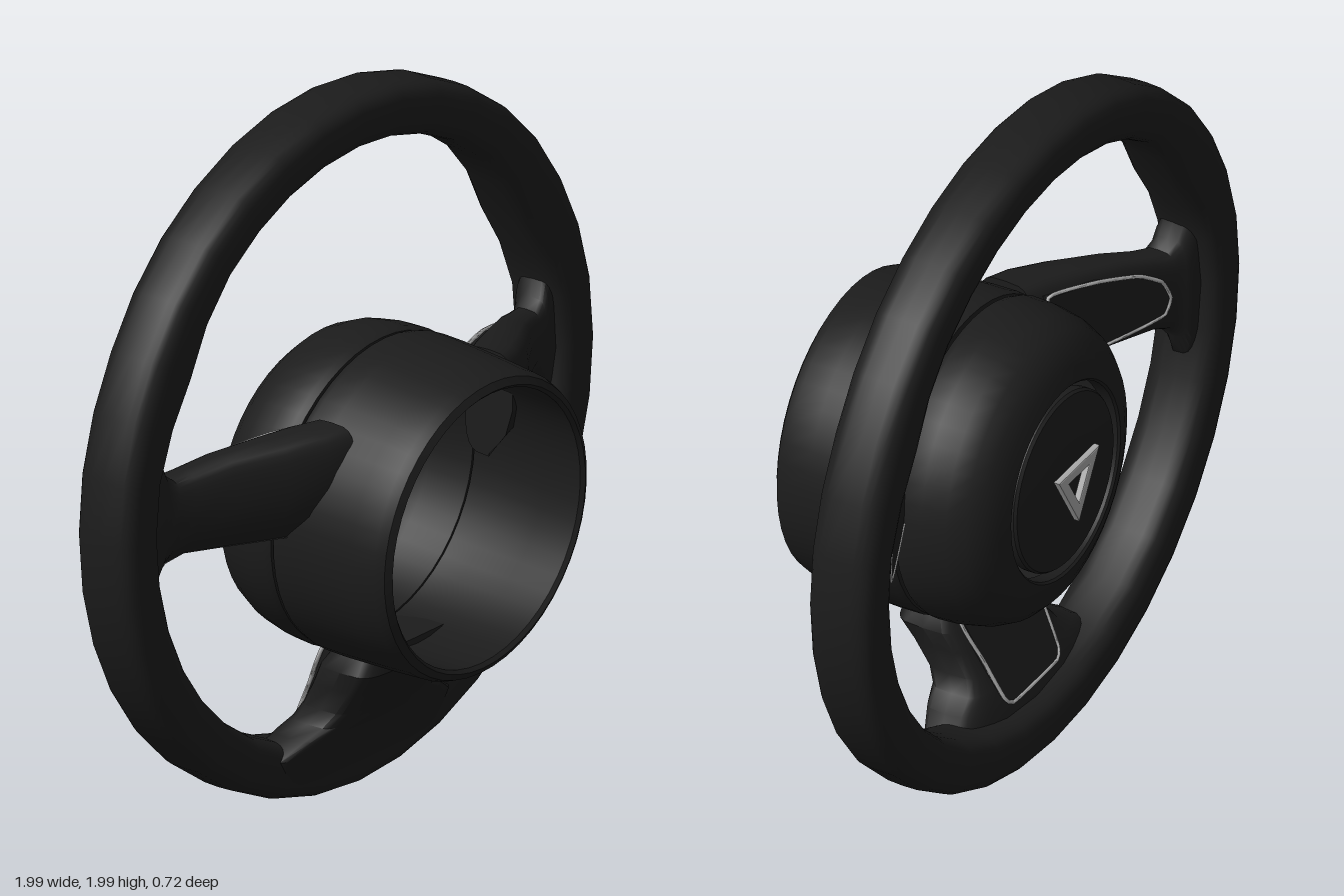
import * as THREE from 'three';
import { toCreasedNormals } from 'three/addons/utils/BufferGeometryUtils.js';

const dark = new THREE.MeshStandardMaterial({ color: 0x1c1c1c, side: THREE.DoubleSide });
const chrome = new THREE.MeshStandardMaterial({ color: 0xaaaaaa });
const HUB_Y = 0.88;

function part(name, geometry, material = dark, crease = 0.7) {
  const mesh = new THREE.Mesh(toCreasedNormals(geometry, crease), material);
  mesh.name = name;
  return mesh;
}

// Rounded-rectangle outline: pairs from -1 to 1, squarer as n grows
function roundedRing(n, count = 24) {
  const bend = (v) => Math.sign(v) * Math.abs(v) ** (2 / n);
  return Array.from({ length: count }, (_, j) => {
    const a = (j / count) * Math.PI * 2;
    return [bend(Math.cos(a)), -bend(Math.sin(a))];
  });
}

// Skin a series of rings, either closed into a loop or capped at both ends
function loft(rings, closed = false) {
  const m = rings[0].length, n = rings.length, index = [];
  for (let i = 0; i < (closed ? n : n - 1); i++) {
    for (let j = 0; j < m; j++) {
      const k = (j + 1) % m, i2 = (i + 1) % n;
      const a = i * m + j, b = i2 * m + j, c = i2 * m + k, d = i * m + k;
      index.push(a, b, d, b, c, d);
    }
  }
  if (!closed) {
    const e = (n - 1) * m;
    for (let j = 1; j < m - 1; j++) index.push(0, j, j + 1, e, e + j + 1, e + j);
  }
  const g = new THREE.BufferGeometry();
  g.setAttribute('position', new THREE.Float32BufferAttribute(rings.flat(2), 3));
  g.setIndex(index);
  return g;
}

// Turned hub part along z, with its axis leaning slightly
function turned(name, profile) {
  const g = new THREE.LatheGeometry(profile.map(([r, z]) => new THREE.Vector2(r, z)), 48);
  g.rotateX(Math.PI / 2);
  const p = g.attributes.position;
  for (let i = 0; i < p.count; i++) {
    const y = p.getY(i), z = p.getZ(i);
    p.setXYZ(i, p.getX(i), HUB_Y + y - 0.04 * z, z + 0.045 * y);
  }
  return part(name, g, dark, 0.6);
}

// Inset panel with a chrome outline, laid on a sloping face z = depth(x, y)
function trimmedPanel(name, outline, depth) {
  const group = new THREE.Group();
  group.name = name;
  const shape = new THREE.Shape(outline.map(([x, y]) => new THREE.Vector2(x, y)));
  const g = new THREE.ExtrudeGeometry(shape, { depth: 0.03, bevelEnabled: false });
  const p = g.attributes.position;
  for (let i = 0; i < p.count; i++) p.setZ(i, p.getZ(i) - 0.01 + depth(p.getX(i), p.getY(i)));
  const path = new THREE.CatmullRomCurve3(
    outline.map(([x, y]) => new THREE.Vector3(x, y, depth(x, y) - 0.008)), true, 'catmullrom', 0.2);
  group.add(part('panelFace', g), part('panelTrim', new THREE.TubeGeometry(path, 64, 0.006, 6, true), chrome, 1.5));
  return group;
}

// Rim: inner radius swells at the thumb grips
function rim() {
  const section = roundedRing(3.4), rings = [], count = 36;
  for (let i = 0; i < count; i++) {
    const t = (i / count) * Math.PI * 2;
    const fromTop = Math.min(t, Math.PI * 2 - t) * 180 / Math.PI;
    const inner = 0.84 - 0.04 * Math.exp(-(((fromTop - 61) / 11) ** 2));
    const mid = (0.995 + inner) / 2, half = (0.995 - inner) / 2;
    rings.push(section.map(([u, v]) => {
      const r = mid + half * u;
      return [r * Math.sin(t), 1.003 + r * Math.cos(t), -0.19 + 0.1 * v];
    }));
  }
  return part('rim', loft(rings, true));
}

// Side spoke stations: x, bottom y, top y, back z, front z
function sideSpoke(sign, name) {
  const group = new THREE.Group();
  group.name = name;
  const section = roundedRing(4);
  const stations = [
    [0.33, 0.9, 1.21, -0.015, 0.15], [0.4, 0.9, 1.205, -0.05, 0.125], [0.5, 0.9, 1.19, -0.094, 0.065],
    [0.62, 0.9, 1.168, -0.148, -0.02], [0.71, 0.9, 1.14, -0.19, -0.075], [0.76, 0.88, 1.13, -0.21, -0.1],
    [0.79, 0.84, 1.155, -0.225, -0.108], [0.805, 0.78, 1.2, -0.235, -0.112], [0.86, 0.72, 1.28, -0.24, -0.13],
  ];
  const rings = stations.map(([x, y0, y1, z0, z1]) => section.map(([u, v]) => {
    // the lower front edge is rounded off near the hub
    const y = (y0 + y1) / 2 + u * (y1 - y0) / 2;
    const z = (z0 + z1) / 2 + v * (z1 - z0) / 2;
    const cut = v > 0 && u < 0 ? v * u * u * (z1 - z0) * 0.55 : 0;
    return [x, y, z - cut];
  }));
  const outline = [[0.37, 1.17], [0.52, 1.155], [0.64, 1.12], [0.71, 1.07], [0.735, 1.01],
    [0.715, 0.96], [0.6, 0.945], [0.4, 0.945]];
  group.add(part('spokeBody', loft(rings)),
    trimmedPanel('buttonPanel', outline, (x) => -0.04 - 0.45 * (x - 0.38)));
  group.scale.x = sign;
  return group;
}

// Bottom spoke stations: y, half width, back z, front z
function bottomSpoke() {
  const group = new THREE.Group();
  group.name = 'bottomSpoke';
  const section = roundedRing(5);
  const stations = [
    [0.49, 0.18, -0.06, 0.09], [0.43, 0.215, -0.1, 0.1], [0.37, 0.205, -0.13, 0.06], [0.3, 0.205, -0.165, 0.012],
    [0.26, 0.23, -0.185, -0.014], [0.235, 0.29, -0.197, -0.03], [0.19, 0.36, -0.22, -0.06],
    [0.1, 0.34, -0.25, -0.085], [0.05, 0.2, -0.25, -0.11],
  ];
  const rings = stations.map(([y, w, z0, z1]) => section.map(([u, v]) =>
    [u * w, y, (z0 + z1) / 2 + v * (z1 - z0) / 2]));
  const half = [[0.17, 0.48], [0.155, 0.34], [0.14, 0.23], [0.11, 0.205]];
  const outline = [...half, ...half.map(([x, y]) => [-x, y]).reverse()];
  group.add(part('spokeBody', loft(rings)),
    trimmedPanel('lowerPanel', outline, (x, y) => -0.092 - 0.5 * (0.45 - y)));
  return group;
}

// Plain triangular frame standing off the centre pad
function triangleTrim() {
  const triangle = (Type, s) => new Type([[-0.1, 0.06], [0, -0.115], [0.1, 0.06]]
    .map(([x, y]) => new THREE.Vector2(x * s, y * s)));
  const shape = triangle(THREE.Shape, 1);
  shape.holes.push(triangle(THREE.Path, 0.58));
  const g = new THREE.ExtrudeGeometry(shape, {
    depth: 0.01, bevelThickness: 0.005, bevelSize: 0.005, bevelSegments: 2 });
  g.translate(0, 0.9, -0.356);
  return part('triangleTrim', g, chrome, 0.4);
}

export function createModel() {
  const model = new THREE.Group();
  model.name = 'steeringWheel';
  model.add(rim());

  // Open column shroud facing forward
  model.add(turned('columnShroud', [
    [0.4, -0.04], [0.445, -0.04], [0.45, -0.02], [0.45, 0.05], [0.442, 0.22], [0.436, 0.3],
    [0.425, 0.328], [0.405, 0.34], [0.395, 0.33], [0.4, 0.2], [0.405, 0.05], [0.4, -0.04]]));

  // Domed driver-side cover, with an open ring around the centre pad
  model.add(turned('padCover', [
    [0.4, -0.045], [0.39, -0.18], [0.35, -0.25], [0.28, -0.27], [0.28, -0.312], [0.286, -0.318],
    [0.33, -0.306], [0.375, -0.285], [0.41, -0.25], [0.433, -0.2], [0.447, -0.13], [0.45, -0.07],
    [0.443, -0.05], [0.4, -0.045]]));
  model.add(turned('centrePad', [
    [0, -0.329], [0.12, -0.328], [0.22, -0.322], [0.252, -0.316], [0.258, -0.308], [0.258, -0.28], [0, -0.28]]));

  model.add(sideSpoke(1, 'leftSpoke'), sideSpoke(-1, 'rightSpoke'), bottomSpoke(), triangleTrim());
  return model;
}
